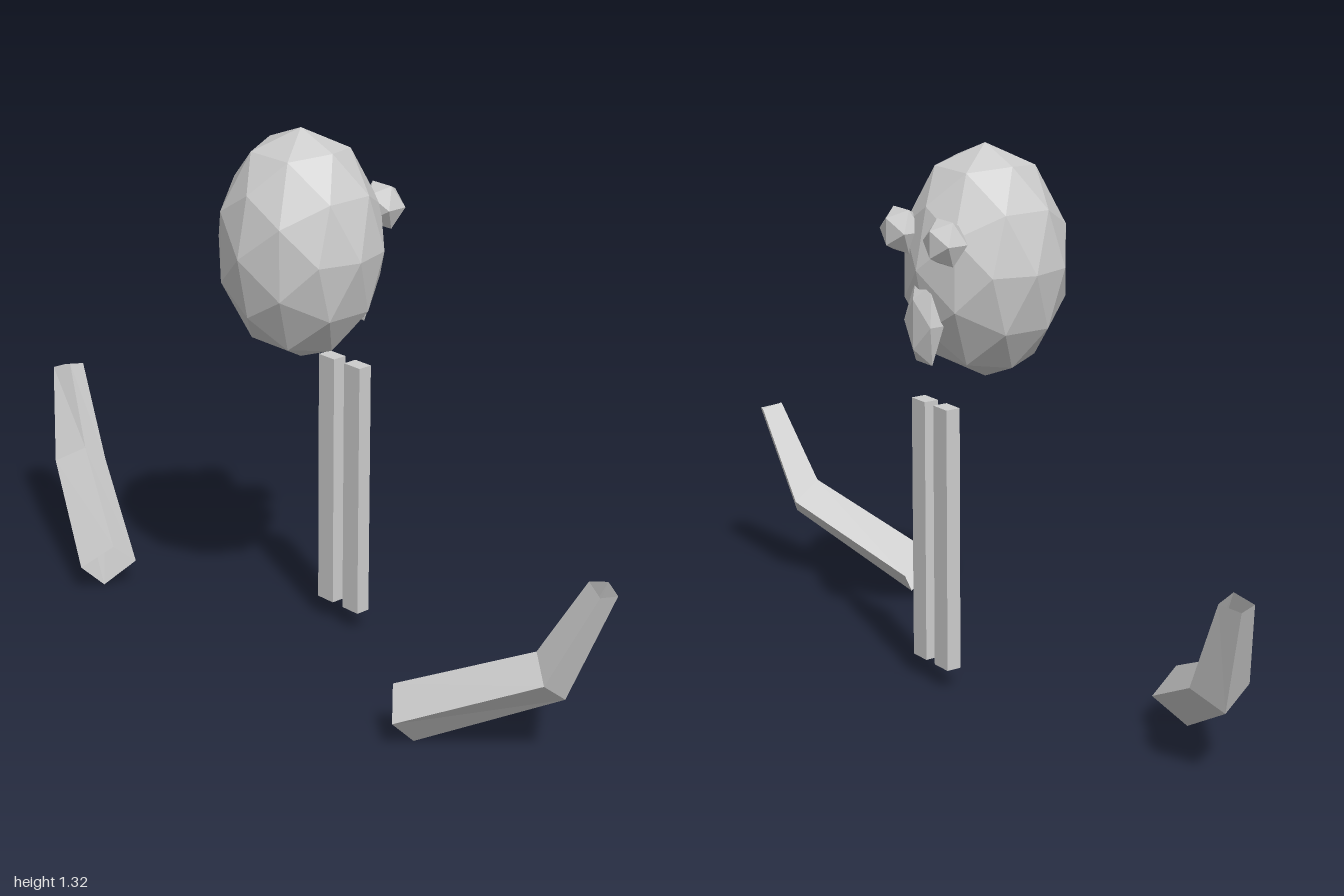
import * as THREE from 'three';

const grey = new THREE.MeshStandardMaterial({ color: 0xcccccc, flatShading: true });
grey.name = 'grey';
grey.side = THREE.DoubleSide; // the wings are open tubes

function mesh(name, geometry) {
  const m = new THREE.Mesh(geometry, grey);
  m.name = name;
  return m;
}

// Faceted ball stretched to an ellipsoid
function ball(name, detail, radii, position) {
  const m = mesh(name, new THREE.IcosahedronGeometry(1, detail).scale(...radii));
  m.position.set(...position);
  return m;
}

// Four-sided open tube through rings of four corners; side mirrors it in x
function wing(name, side) {
  const rings = [
    [[0.521, 0.133, 0.172], [0.582, 0.072, 0.232], [0.58, 0.003, 0.16], [0.521, 0.073, 0.1]],
    [[0.828, 0.278, 0.022], [0.898, 0.232, 0.07], [0.9, 0.177, 0], [0.83, 0.226, -0.046]],
    [[0.939, 0.476, -0.019], [0.989, 0.458, -0.001], [1, 0.452, -0.048], [0.95, 0.463, -0.071]],
  ];
  const positions = rings.flat().flatMap(([x, y, z]) => [x * side, y, z]);
  const index = [];
  for (let r = 0; r < 2; r++) {
    for (let i = 0; i < 4; i++) {
      const a = r * 4 + i, b = r * 4 + (i + 1) % 4, c = b + 4, d = a + 4;
      // Winding flips with the mirror so the outside stays the front
      if (side > 0) index.push(a, b, c, a, c, d);
      else index.push(a, c, b, a, d, c);
    }
  }
  const indexed = new THREE.BufferGeometry();
  indexed.setAttribute('position', new THREE.Float32BufferAttribute(positions, 3));
  indexed.setIndex(index);
  const geometry = indexed.toNonIndexed();
  geometry.computeVertexNormals();
  return mesh(name, geometry);
}

export function createModel() {
  const model = new THREE.Group();
  model.name = 'bird';

  // Head with beak on its rear face
  model.add(ball('head', 1, [0.209, 0.2835, 0.1985], [0, 1.037, -0.0095]));
  model.add(ball('beak', 0, [0.065, 0.115, 0.036], [0, 0.909, -0.186]));

  // Paired parts
  for (const [label, side] of [['left', 1], ['right', -1]]) {
    model.add(ball(label + 'Eye', 0, [0.0617, 0.0617, 0.0505], [0.091 * side, 1.117, -0.187]));
    const leg = mesh(label + 'Leg', new THREE.BoxGeometry(0.055, 0.654, 0.038));
    leg.position.set(0.0455 * side, 0.382, -0.154);
    model.add(leg, wing(label + 'Wing', side));
  }
  return model;
}
